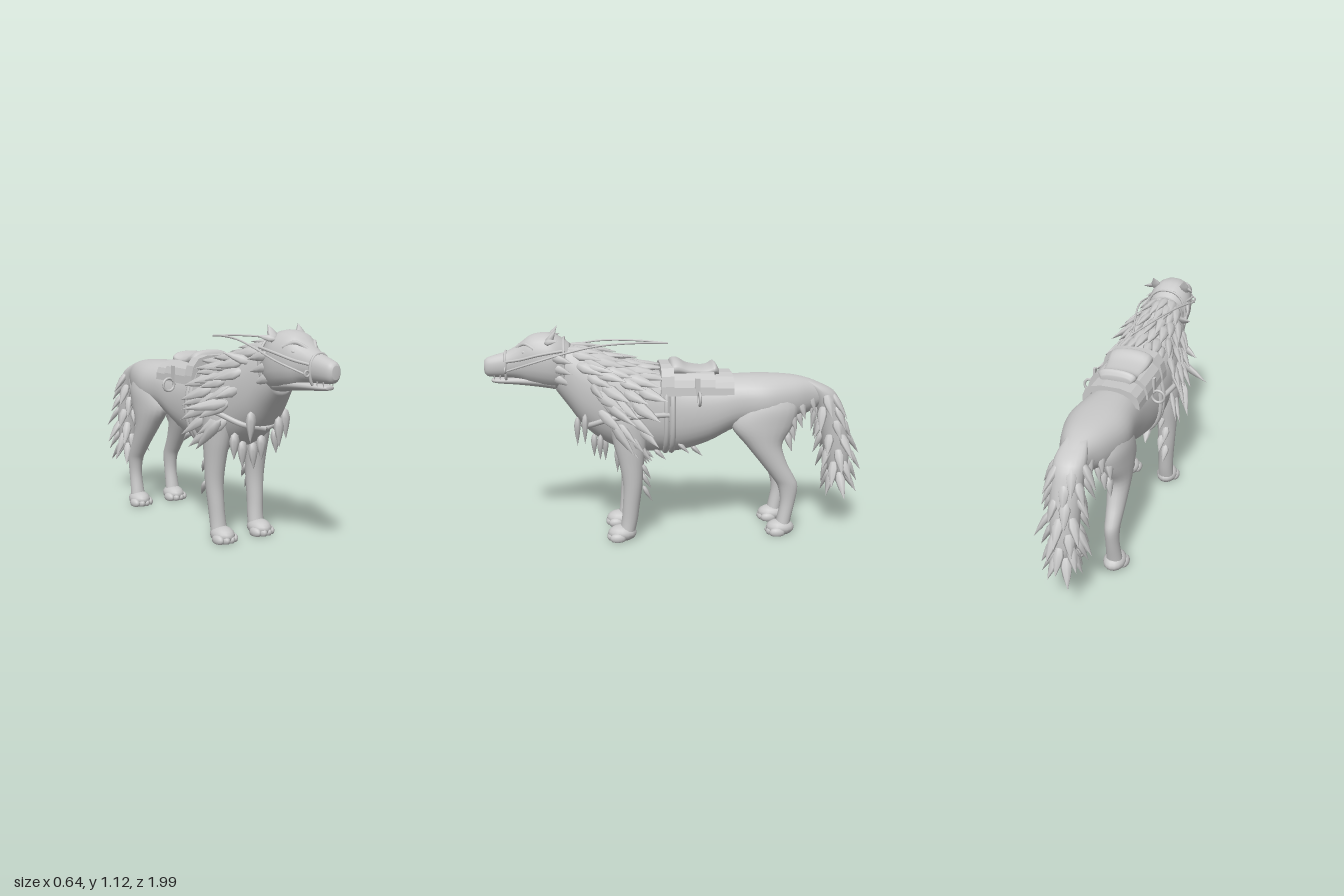
import * as THREE from 'three';
import { mergeGeometries } from 'three/addons/utils/BufferGeometryUtils.js';

const V = (x, y, z) => new THREE.Vector3(x, y, z);
const grey = new THREE.MeshStandardMaterial({ color: 0xc8c8c8 });
grey.name = 'plain grey';

let seed = 7;
const rnd = () => (seed = (seed * 16807) % 2147483647) / 2147483647;
const jit = (a) => (rnd() - 0.5) * 2 * a;

// smooth interpolation through rows of numbers, t from 0 to 1
function sample(rows, t) {
  const f = Math.min(Math.max(t, 0), 1) * (rows.length - 1);
  const i = Math.min(Math.floor(f), rows.length - 2), u = f - i;
  const at = (k) => rows[Math.min(Math.max(k, 0), rows.length - 1)];
  return at(i).map((b, c) => {
    const a = at(i - 1)[c], d = at(i + 1)[c], e = at(i + 2)[c];
    return b + 0.5 * u * (d - a + u * (2 * a - 5 * b + 4 * d - e + u * (3 * (b - d) + e - a)));
  });
}

// closed skin over rings; ring(row, angle) gives one point
function loft(rows, ring, seg = 24, sub = 4) {
  const n = (rows.length - 1) * sub, pos = [], idx = [];
  for (let i = 0; i <= n; i++) {
    const r = sample(rows, i / n);
    for (let j = 0; j < seg; j++) pos.push(...ring(r, (j / seg) * Math.PI * 2).toArray());
  }
  for (const i of [0, n]) {
    const c = V(0, 0, 0);
    for (let j = 0; j < seg; j++) c.add(ring(rows[i ? rows.length - 1 : 0], (j / seg) * Math.PI * 2));
    pos.push(...c.divideScalar(seg).toArray());
  }
  const c0 = (n + 1) * seg;
  for (let j = 0; j < seg; j++) {
    const k = (j + 1) % seg;
    for (let i = 0; i < n; i++) {
      const a = i * seg + j, b = i * seg + k;
      idx.push(a, b, a + seg, b, b + seg, a + seg);
    }
    idx.push(c0, k, j, c0 + 1, n * seg + j, n * seg + k);
  }
  // turn the faces outward when the enclosed volume is negative
  const p = (i) => V(pos[i * 3], pos[i * 3 + 1], pos[i * 3 + 2]);
  let vol = 0;
  for (let i = 0; i < idx.length; i += 3) vol += p(idx[i]).dot(p(idx[i + 1]).cross(p(idx[i + 2])));
  if (vol < 0) idx.reverse();
  const g = new THREE.BufferGeometry();
  g.setAttribute('position', new THREE.Float32BufferAttribute(pos, 3));
  g.setIndex(idx);
  g.computeVertexNormals();
  return g;
}

// upright ring [z, top, bottom, halfWidth], angle 0 at the top
const spow = (v, e) => Math.sign(v) * Math.abs(v) ** e;
const upright = ([z, top, bot, hw], a) =>
  V(hw * spow(Math.sin(a), 0.85), (top + bot) / 2 + ((top - bot) / 2) * spow(Math.cos(a), 0.9), z);
// level ring [x, y, z, radiusX, radiusZ]
const level = ([x, y, z, rx, rz], a) => V(x + rx * Math.cos(a), y, z + rz * Math.sin(a));

const BODY = [
  [-0.78, 0.79, 0.70, 0.05], [-0.70, 0.825, 0.65, 0.08], [-0.6, 0.848, 0.61, 0.125], [-0.45, 0.858, 0.585, 0.163],
  [-0.3, 0.857, 0.575, 0.15], [-0.15, 0.85, 0.50, 0.143], [0, 0.855, 0.457, 0.15], [0.1, 0.88, 0.455, 0.16],
  [0.2, 0.91, 0.46, 0.165], [0.3, 0.94, 0.475, 0.165], [0.4, 0.975, 0.52, 0.157], [0.5, 1.01, 0.6, 0.14],
  [0.58, 1.03, 0.71, 0.115], [0.64, 1.0, 0.79, 0.08]];
function onBody(z, a) {
  let i = 0;
  while (i < BODY.length - 2 && BODY[i + 1][0] < z) i++;
  const u = (z - BODY[i][0]) / (BODY[i + 1][0] - BODY[i][0]);
  return upright(BODY[i].map((v, c) => v + u * (BODY[i + 1][c] - v)), a);
}

// leaf-shaped fur tuft from base along dir, flattened against the normal n
const tuftGeo = new THREE.LatheGeometry(
  [[0, 0], [0.34, 0.1], [0.5, 0.32], [0.33, 0.62], [0, 1]].map((p) => new THREE.Vector2(...p)), 7);
function tuft(base, dir, n, len, wid) {
  const y = dir.clone().normalize();
  const x = y.clone().cross(n).normalize();
  const z = x.clone().cross(y);
  const m = new THREE.Matrix4().makeBasis(x.multiplyScalar(wid), y.multiplyScalar(len), z.multiplyScalar(wid * 0.6));
  return tuftGeo.clone().applyMatrix4(m.setPosition(base));
}
const tuftTo = (a, b, wid, n = V(0, 0.3, 1)) => tuft(a, b.clone().sub(a), n, a.distanceTo(b), wid);

const tube = (pts, r, closed = false, seg = 40) =>
  new THREE.TubeGeometry(new THREE.CatmullRomCurve3(pts, closed), seg, r, 8, closed);
const ball = (x, y, z, rx, ry, rz) => new THREE.SphereGeometry(1, 16, 10).scale(rx, ry, rz).translate(x, y, z);

export function createModel() {
  const model = new THREE.Group();
  model.name = 'saddledWolf';
  model.position.x = 0.02;
  const root = new THREE.Group();
  root.name = 'wolf';
  root.add(model);
  const add = (name, ...geos) => {
    const m = new THREE.Mesh(geos.length > 1 ? mergeGeometries(geos) : geos[0], grey);
    m.name = name;
    model.add(m);
  };

  add('body', loft(BODY, upright, 32));

  // head with jaw, nose, brows and teeth
  add('head', loft([
    [0.56, 1.03, 0.84, 0.08], [0.62, 1.072, 0.80, 0.113], [0.68, 1.092, 0.805, 0.12], [0.76, 1.08, 0.825, 0.102],
    [0.82, 1.035, 0.85, 0.075], [0.88, 1.0, 0.862, 0.058], [0.95, 0.978, 0.866, 0.047],
    [0.985, 0.966, 0.872, 0.037], [1, 0.95, 0.89, 0.022]], upright));
  add('lowerJaw', loft([[0.64, 0.87, 0.80, 0.085], [0.74, 0.875, 0.815, 0.073], [0.84, 0.868, 0.826, 0.053],
    [0.93, 0.862, 0.833, 0.04], [0.965, 0.858, 0.84, 0.022]], upright, 16));
  add('nose', ball(0, 0.948, 0.978, 0.027, 0.018, 0.021));

  for (const s of [1, -1]) {
    const side = s > 0 ? 'left' : 'right';
    add(side + 'Brow', tube([V(s * 0.022, 1.012, 0.835), V(s * 0.055, 1.04, 0.79), V(s * 0.092, 1.018, 0.74)], 0.01, false, 10));
    add(side + 'Eye', ball(s * 0.071, 1.0, 0.79, 0.01, 0.009, 0.014));
    add(side + 'Fangs', ...[0.95, 0.92].map((z, i) =>
      new THREE.ConeGeometry(0.005, 0.026, 6).rotateX(Math.PI).translate(s * (0.028 + i * 0.01), 0.864, z)));
    add(side + 'Ear', tuftTo(V(s * 0.078, 1.03, 0.68), V(s * 0.09, 1.115, 0.63), 0.065),
      tuftTo(V(s * 0.09, 1.05, 0.69), V(s * 0.145, 1.065, 0.62), 0.035));
    add(side + 'CheekFur', ...[0, 1, 2].map((i) => tuftTo(V(s * (0.105 - i * 0.008), 0.98 - i * 0.05, 0.66),
      V(s * (0.145 - i * 0.015), 0.95 - i * 0.06, 0.55), 0.05, V(s, 0, 0.2))));

    // front leg
    add(side + 'FrontLeg', loft([[0.1, 0.8, 0.27, 0.03, 0.06], [0.112, 0.68, 0.28, 0.07, 0.1],
      [0.122, 0.55, 0.27, 0.064, 0.09], [0.127, 0.42, 0.262, 0.054, 0.064], [0.128, 0.3, 0.257, 0.047, 0.05],
      [0.124, 0.18, 0.267, 0.042, 0.044], [0.12, 0.1, 0.276, 0.042, 0.042], [0.118, 0.03, 0.29, 0.045, 0.04]]
      .map(([x, ...r]) => [s * x, ...r]), level, 20));
    // hind leg with bent hock
    add(side + 'HindLeg', loft([[0.07, 0.8, -0.47, 0.05, 0.1], [0.088, 0.7, -0.46, 0.077, 0.16],
      [0.1, 0.6, -0.43, 0.074, 0.165], [0.11, 0.5, -0.438, 0.062, 0.098], [0.117, 0.4, -0.49, 0.05, 0.07],
      [0.12, 0.32, -0.542, 0.042, 0.06], [0.12, 0.265, -0.57, 0.038, 0.053], [0.12, 0.18, -0.571, 0.035, 0.04],
      [0.12, 0.08, -0.552, 0.04, 0.038], [0.12, 0.02, -0.54, 0.045, 0.04]]
      .map(([x, ...r]) => [s * x, ...r]), level, 20));
    // paws: pad and four toes, flat underneath
    for (const [name, z] of [['FrontPaw', 0.315], ['HindPaw', -0.535]]) {
      const g = mergeGeometries([ball(s * 0.118, 0.036, z, 0.058, 0.044, 0.076),
        ...[-1.5, -0.5, 0.5, 1.5].map((k) =>
          ball(s * 0.118 + k * 0.029, 0.019, z + 0.045 - Math.abs(k) * 0.014, 0.024, 0.028, 0.042))]);
      const p = g.attributes.position;
      for (let i = 0; i < p.count; i++) p.setY(i, Math.max(p.getY(i), 0));
      add(side + name, g);
    }

    // fur behind the front leg, on the thigh and beside the tail root
    add(side + 'LegFur', ...[0.5, 0.42, 0.36, 0.3].map((y, i) => tuft(
      V(s * (0.115 + (i % 2) * 0.025), y, 0.215 - (0.5 - y) * 0.05), V(0, -0.8, -0.45), V(0, 0, -1), 0.1, 0.045)));
    add(side + 'ThighFur', ...[[0.09, 0.73, -0.63], [0.07, 0.68, -0.62], [0.11, 0.67, -0.58], [0.08, 0.61, -0.58],
      [0.1, 0.56, -0.56], [0.06, 0.76, -0.69]].map(([x, y, z]) => tuft(
      V(s * x, y, z), V(s * 0.2, -1, -0.25), V(s, 0, -0.6), 0.11, 0.05)));

    // ring hanging from its strap
    add(side + 'StirrupStrap', new THREE.BoxGeometry(0.012, 0.08, 0.024).translate(s * 0.162, 0.825, -0.08));
    add(side + 'StirrupRing', new THREE.TorusGeometry(0.033, 0.007, 8, 24).translate(s * 0.186, 0.765, -0.085));
    // bridle cheek strap, bit ring and rein
    add(side + 'CheekStrap', tube([V(s * 0.056, 0.95, 0.885), V(s * 0.086, 0.965, 0.81), V(s * 0.114, 0.99, 0.72),
      V(s * 0.115, 1.01, 0.6)], 0.007, false, 16));
    add(side + 'BitRing', new THREE.TorusGeometry(0.013, 0.005, 6, 16).translate(s * 0.073, 0.91, 0.89));
    add(side + 'Rein', tube([V(s * 0.073, 0.905, 0.885), V(s * 0.122, 0.955, 0.74), V(s * 0.12, 1.0, 0.58),
      V(s * 0.1, 1.03, 0.42), V(s * 0.05, 1.035, 0.22), V(0, 1.025, 0.06)], 0.005));
    // breast collar
    add(side + 'BreastCollar', tube([V(s * 0.162, 0.68, 0.07), V(s * 0.18, 0.68, 0.22), V(s * 0.176, 0.67, 0.36),
      V(s * 0.11, 0.625, 0.472), V(0, 0.6, 0.508)], 0.014));
  }

  // mane: staggered rows of tufts swept back and fanned out, leaving the throat bare
  const mane = [];
  for (let i = 0; i < 8; i++) {
    for (let j = -5; j <= 5; j++) {
      const a = (j + (i % 2) * 0.5) * 0.4 + jit(0.07), z = 0.59 - i * 0.05 + jit(0.02);
      const low = Math.abs(a) / Math.PI;
      if (z > 0.64 - 0.32 * low) continue;
      const n = V(Math.sin(a), Math.cos(a) * 0.7, 0);
      const dir = V(0, -0.3 - 0.85 * low, -1).addScaledVector(n, 0.36 + 0.36 * n.x * n.x + jit(0.14));
      mane.push(tuft(onBody(z, a).addScaledVector(n, -0.008), dir, n, 0.15 + rnd() * 0.055, 0.054 + rnd() * 0.016));
    }
  }
  add('mane', ...mane);
  // long shoulder tufts
  add('shoulderFur',
    tuftTo(V(-0.15, 0.73, 0.41), V(-0.34, 0.695, 0.28), 0.06), tuftTo(V(0.15, 0.75, 0.4), V(0.3, 0.655, 0.24), 0.065),
    tuftTo(V(0.17, 0.64, 0.36), V(0.28, 0.5, 0.25), 0.07), tuftTo(V(-0.17, 0.64, 0.37), V(-0.245, 0.48, 0.26), 0.065),
    tuftTo(V(-0.14, 0.8, 0.47), V(-0.24, 0.76, 0.42), 0.055), tuftTo(V(0.14, 0.84, 0.46), V(0.23, 0.78, 0.4), 0.055),
    tuftTo(V(-0.1, 0.93, 0.52), V(-0.195, 0.975, 0.42), 0.05), tuftTo(V(0.1, 0.95, 0.5), V(0.17, 0.93, 0.38), 0.05));
  // chest and belly tufts hanging down
  add('chestFur', ...[[-0.1, 0.7, 0.525], [0.06, 0.66, 0.535], [0.13, 0.69, 0.495], [-0.12, 0.58, 0.42],
    [0.13, 0.58, 0.42], [0.02, 0.56, 0.45], [-0.05, 0.53, 0.39], [0.06, 0.5, 0.33]]
    .map(([x, y, z]) => tuft(V(x, y, z), V(x * 0.4, -1, 0.02), V(0, 0, 1), 0.13 + rnd() * 0.03, 0.06)));
  add('bellyFur', ...[[0, 0.47, 0.2], [-0.07, 0.48, 0.16], [0.07, 0.48, 0.14], [0.1, 0.52, 0.02], [-0.1, 0.52, 0.0],
    [0.02, 0.48, -0.06]].map(([x, y, z]) => tuft(V(x, y, z), V(x, -0.6, -0.6), V(0, -1, 0), 0.09, 0.045)));

  // tail, thick and hanging, with broad tufts standing off it
  const TAIL = [[0, 0.82, -0.68, 0.05, 0.03], [0, 0.76, -0.76, 0.076, 0.072], [0, 0.66, -0.81, 0.076, 0.073],
    [0, 0.54, -0.842, 0.074, 0.073], [0, 0.42, -0.862, 0.068, 0.068], [0, 0.32, -0.872, 0.052, 0.055],
    [0, 0.25, -0.875, 0.015, 0.02]];
  add('tail', loft(TAIL, level, 20));
  const tailFur = [];
  for (let i = 0; i < 7; i++) {
    for (let j = 0; j < 6; j++) {
      const a = ((j + (i % 2) * 0.5) / 6) * Math.PI * 2 + jit(0.2);
      const n = V(Math.cos(a), 0, Math.sin(a));
      tailFur.push(tuft(level(sample(TAIL, 0.18 + i * 0.11), a).addScaledVector(n, -0.012),
        V(0, -1, -0.14).addScaledVector(n, 0.42 + 0.12 * Math.abs(n.x) + jit(0.14)), n, 0.12 + rnd() * 0.045, 0.056));
    }
  }
  add('tailFur', ...tailFur);

  // saddle blanket, front roll and seat
  const arch = (grow, z0, z1, lift = 0) => {
    const half = [[0.163, 0.785], [0.16, 0.82], [0.147, 0.85 + lift * 0.6], [0.115, 0.874 + lift], [0.06, 0.887 + lift]];
    const out = [...half.map(([x, y]) => [-x - grow, y + grow]), ...half.reverse().map(([x, y]) => [x + grow, y + grow])];
    const pts = [...out, [0.13, 0.785], [0.1, 0.83], [-0.1, 0.83], [-0.13, 0.785]];
    return new THREE.ExtrudeGeometry(new THREE.Shape(pts.map((p) => new THREE.Vector2(...p))),
      { depth: z1 - z0, bevelEnabled: false }).translate(0, 0, z0);
  };
  add('saddleBlanket', arch(-0.01, -0.27, 0.11));
  add('blanketFrontRoll', arch(0.006, 0.04, 0.105, 0.035));
  add('saddleFlaps', arch(-0.001, -0.17, 0.04, 0.01));
  add('saddleSeat', loft([[0.06, 0.91, 0.86, 0.08], [0.045, 0.945, 0.86, 0.112], [0.01, 0.948, 0.86, 0.115],
    [-0.04, 0.92, 0.86, 0.108], [-0.11, 0.907, 0.86, 0.098], [-0.15, 0.912, 0.86, 0.098],
    [-0.18, 0.93, 0.86, 0.1], [-0.2, 0.9, 0.86, 0.08]], upright, 20));
  // girth bands around the body
  for (const z of [0.08, 0.047])
    add('girth', tube(Array.from({ length: 24 }, (_, k) => onBody(z, (k / 24) * Math.PI * 2)), 0.015, true, 64));
  // bridle bands round the muzzle and behind the ears
  const band = (z, top, bot, hw) =>
    tube(Array.from({ length: 20 }, (_, k) => upright([z, top, bot, hw], (k / 20) * Math.PI * 2)), 0.007, true, 48);
  add('noseband', band(0.89, 0.997, 0.84, 0.055));
  add('crownStrap', band(0.595, 1.062, 0.8, 0.11));
  return root;
}
